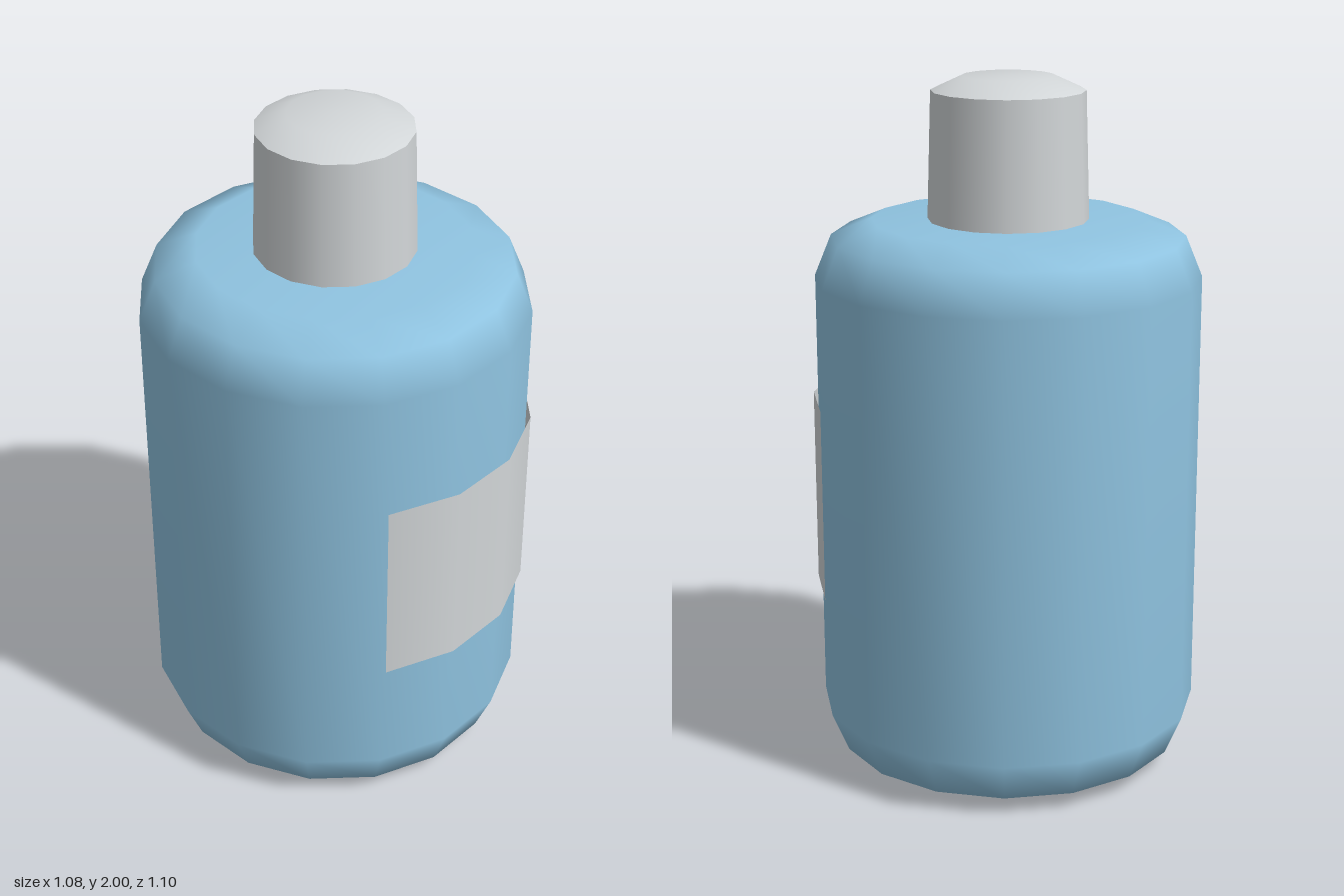
import * as THREE from 'three';

const SIDES = 16;
const STEP = (Math.PI * 2) / SIDES;

export function createModel() {
  const blue = new THREE.MeshStandardMaterial({ color: 0x8fc3e0 });
  blue.name = 'bottle blue';
  const silver = new THREE.MeshStandardMaterial({ color: 0xd2d6d8, side: THREE.DoubleSide });
  silver.name = 'silver grey';

  const model = new THREE.Group();
  model.name = 'bottle';

  // Sixteen-sided turned part with flat faces towards the four axes
  function turned(name, profile, material) {
    const points = profile.map(([r, y]) => new THREE.Vector2(r, y));
    const mesh = new THREE.Mesh(new THREE.LatheGeometry(points, SIDES, STEP / 2), material);
    mesh.name = name;
    mesh.position.z = -0.008;
    model.add(mesh);
  }

  // Body with rounded shoulder and base
  turned('body', [
    [0, 0], [0.387, 0], [0.502, 0.05], [0.55, 0.165],
    [0.55, 1.435], [0.502, 1.552], [0.387, 1.6], [0, 1.6],
  ], blue);

  // Tapered cap with a crisp rim below its domed top
  turned('capSide', [[0.228, 1.595], [0.217, 1.96]], silver);
  turned('capTop', [[0.217, 1.96], [0.13, 2], [0, 2]], silver);

  // Label sheet wrapped over four body faces, just in front of them
  const label = new THREE.Mesh(
    new THREE.CylinderGeometry(0.549, 0.549, 0.565, 4, 1, true, -1.5 * STEP, 4 * STEP),
    silver,
  );
  label.name = 'label';
  label.position.set(0, 0.803, 0.01);
  model.add(label);

  return model;
}
